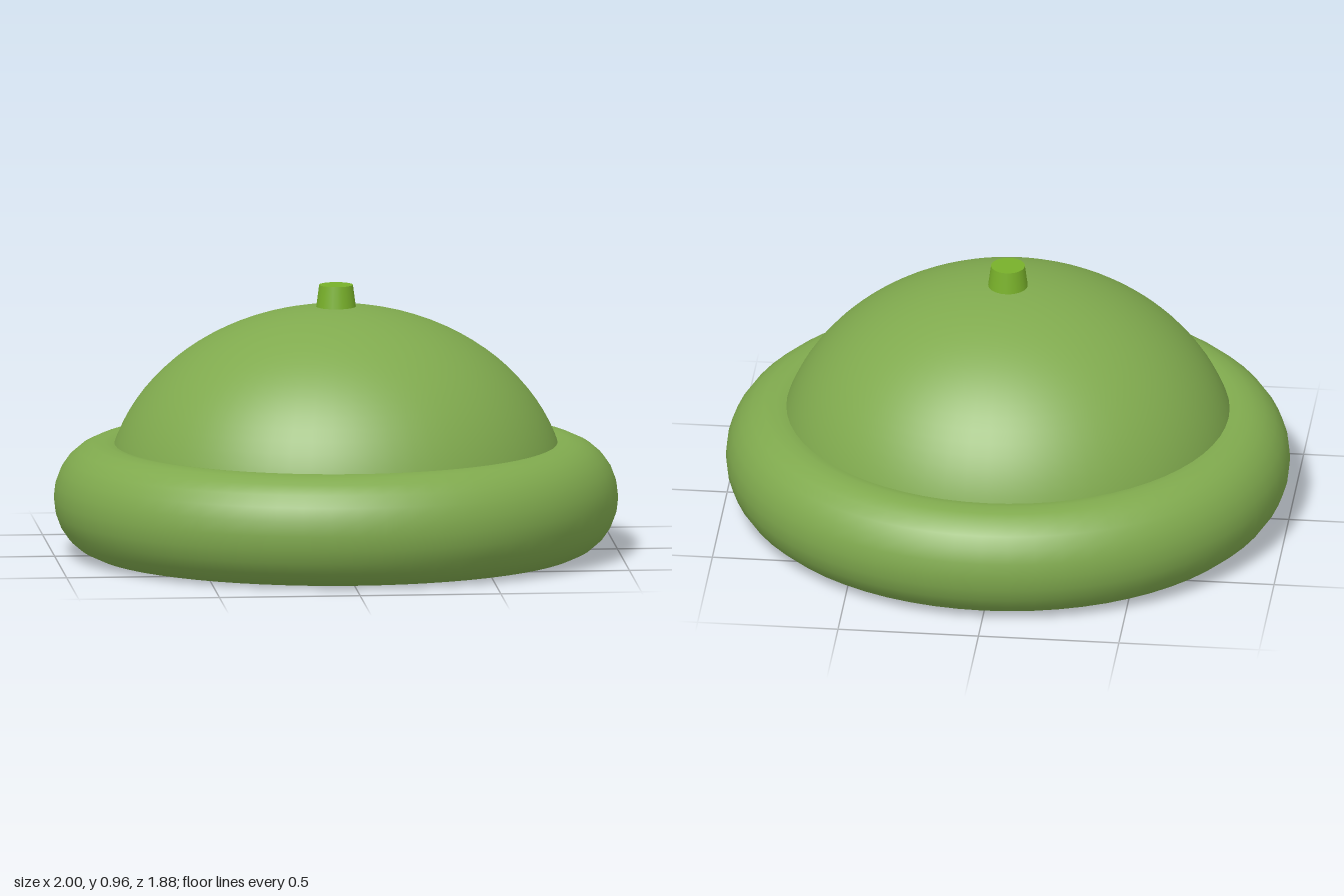
import * as THREE from 'three';

export function createModel() {
  const group = new THREE.Group();
  group.name = 'beret';

  const felt = new THREE.MeshStandardMaterial({ color: 0x80aa4e, side: THREE.DoubleSide });
  felt.name = 'moss green felt';
  const bright = new THREE.MeshStandardMaterial({ color: 0x78b02a });
  bright.name = 'bright green';

  const add = (name, geometry, material, y) => {
    const mesh = new THREE.Mesh(geometry, material);
    mesh.name = name;
    mesh.position.y = y;
    group.add(mesh);
    return mesh;
  };

  const depth = 0.94; // the hat is slightly oval
  const ringRadius = 0.82;

  // Padded ring around the open underside
  const rim = new THREE.TorusGeometry(ringRadius, 0.18, 24, 64);
  rim.rotateX(-Math.PI / 2);
  rim.scale(1, 0.2 / 0.18, depth);
  add('rim', rim, felt, 0.2);

  // Hollow crown rising from the middle of the ring
  const crown = new THREE.SphereGeometry(1, 64, 24, 0, Math.PI * 2, 0, Math.PI / 2);
  crown.scale(ringRadius, 0.685, ringRadius * depth);
  add('crown', crown, felt, 0.2);

  // Small tapered stalk on top
  add('stalk', new THREE.CylinderGeometry(0.06, 0.072, 0.09, 24), bright, 0.915);

  return group;
}
